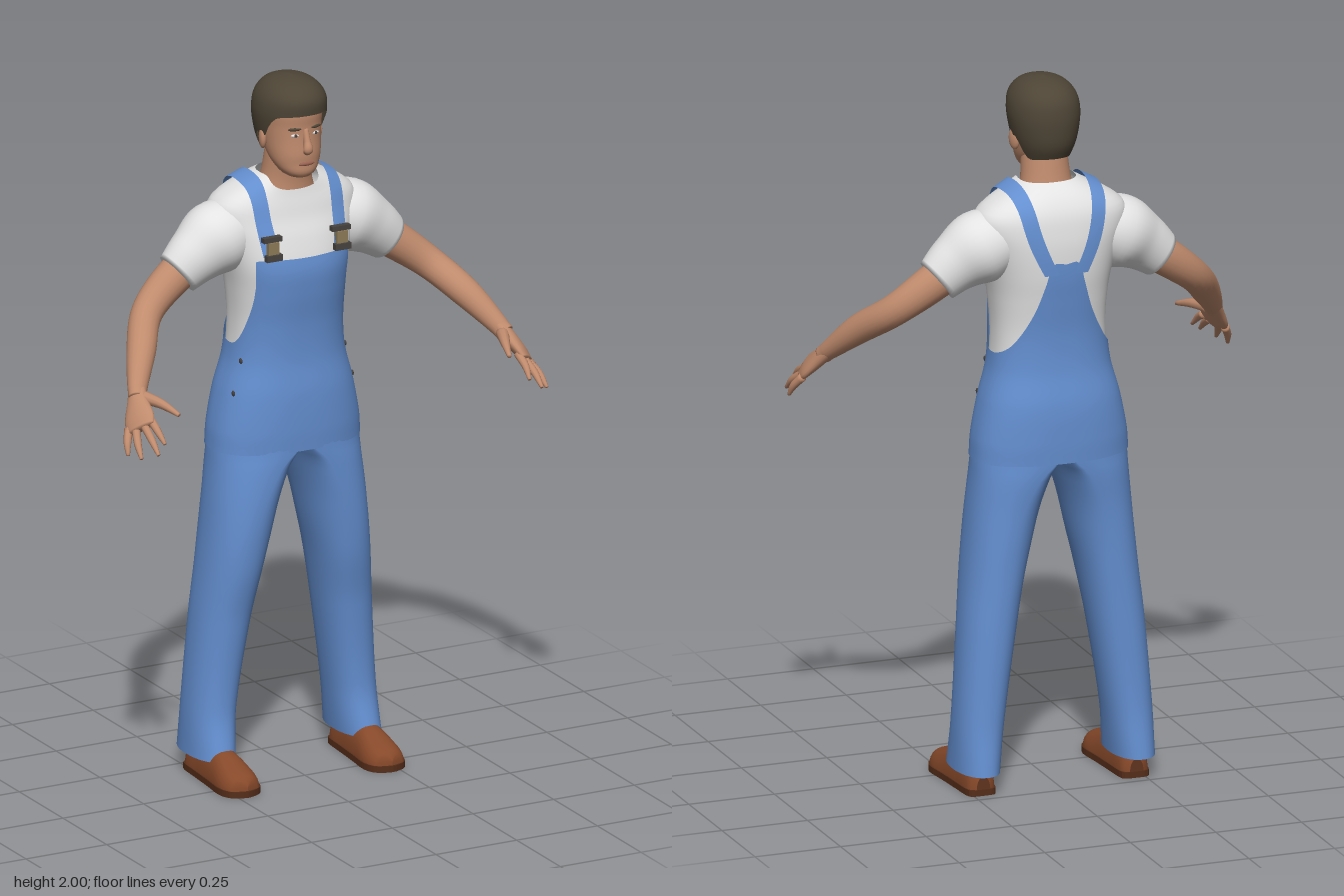
import * as THREE from 'three';

const V = (x, y, z) => new THREE.Vector3(x, y, z);
const mat = (name, color, side = THREE.FrontSide) => {
  const m = new THREE.MeshStandardMaterial({ color, side });
  m.name = name;
  return m;
};

// Smooth interpolation of table rows keyed by their first number
function sample(rows, k) {
  const n = rows.length - 1;
  k = Math.min(Math.max(k, rows[0][0]), rows[n][0]);
  let i = 0;
  while (i < n - 1 && k > rows[i + 1][0]) i++;
  const a = rows[i], b = rows[i + 1], p = rows[Math.max(i - 1, 0)], q = rows[Math.min(i + 2, n)];
  const h = b[0] - a[0], t = (k - a[0]) / h, t2 = t * t, t3 = t2 * t;
  return a.map((_, c) => {
    const ma = (b[c] - p[c]) / (b[0] - p[0]), mb = (q[c] - a[c]) / (q[0] - a[0]);
    return (2 * t3 - 3 * t2 + 1) * a[c] + (t3 - 2 * t2 + t) * h * ma + (3 * t2 - 2 * t3) * b[c] + (t3 - t2) * h * mb;
  });
}

// Surface from fn(u, v), closed around u unless told otherwise
function grid(nu, nv, fn, closed = true) {
  const pos = [], idx = [], cols = closed ? nu : nu + 1;
  for (let j = 0; j <= nv; j++)
    for (let i = 0; i < cols; i++) pos.push(...fn(i / nu, j / nv, j).toArray());
  for (let j = 0; j < nv; j++)
    for (let i = 0; i < nu; i++) {
      const a = j * cols + i, d = j * cols + (i + 1) % cols;
      idx.push(a, a + cols, d + cols, a, d + cols, d);
    }
  const g = new THREE.BufferGeometry();
  g.setAttribute('position', new THREE.Float32BufferAttribute(pos, 3));
  g.setIndex(idx);
  g.computeVertexNormals();
  return g;
}

// Point on a horizontal cross-section; rows are [y, inner, middle, outer, front, back]
function section(rows, y, angle, n, off = 0) {
  const [, inner, mid, outer, zf, zb] = sample(rows, y);
  const c = Math.cos(angle), s = Math.sin(angle), e = 2 / n;
  const px = Math.abs(c) ** e, pz = Math.sign(s) * Math.abs(s) ** e;
  const x = c > 0 ? mid + (outer + off - mid) * px : mid - (mid - inner + off) * px;
  return V(x, y, (zf + zb) / 2 + ((zf - zb) / 2 + off) * pz);
}
const symmetric = rows => rows.map(([y, w, zf, zb]) => [y, -w, 0, w, zf, zb]);

// Closed tube through stations [x, y, z, radius along ref, other radius]
function limb(st, ref = V(0, 0, 1), nu = 20, per = 6) {
  const curve = new THREE.CatmullRomCurve3(st.map(s => V(s[0], s[1], s[2])));
  const radii = st.map((s, i) => [i, s[3], s[4]]), nv = (st.length - 1) * per + 2;
  return grid(nu, nv, (u, v, j) => {
    const t = Math.min(Math.max((j - 1) / (nv - 2), 0), 1);
    const T = curve.getTangent(t), A = ref.clone().addScaledVector(T, -ref.dot(T)).normalize();
    const B = A.clone().cross(T), k = j === 0 || j === nv ? 0 : 1, r = sample(radii, t * (st.length - 1));
    return curve.getPoint(t).addScaledVector(A, k * r[1] * Math.cos(u * 2 * Math.PI))
      .addScaledVector(B, k * r[2] * Math.sin(u * 2 * Math.PI));
  });
}

function mirrored(geo) {
  const g = geo.clone().scale(-1, 1, 1);
  if (!g.index) g.setIndex([...Array(g.attributes.position.count).keys()]);
  const a = g.index.array;
  for (let i = 0; i < a.length; i += 3) [a[i], a[i + 1]] = [a[i + 1], a[i]];
  return g;
}

export function createModel() {
  const group = new THREE.Group();
  group.name = 'workman';
  const skin = mat('skin', 0xc08b6d), hair = mat('darkBrownHair', 0x4e4536, THREE.DoubleSide);
  const white = mat('whiteCotton', 0xe3e3e3, THREE.DoubleSide), denim = mat('blueDenim', 0x648fd0, THREE.DoubleSide);
  const leather = mat('brownLeather', 0x87492a), sole = mat('darkSole', 0x562e1a);
  const metal = mat('darkMetal', 0x47433f), brass = mat('brass', 0x8f7c58), lip = mat('lips', 0x9c6453);
  const add = (name, geo, m) => {
    const mesh = new THREE.Mesh(geo, m);
    mesh.name = name;
    group.add(mesh);
    return mesh;
  };
  const pair = (name, geo, m) => {
    add(name + 'Left', geo, m);
    add(name + 'Right', mirrored(geo), m);
  };
  const TAU = Math.PI * 2, lerp = THREE.MathUtils.lerp;
  const ray = new THREE.Raycaster();
  const hit = (mesh, from, dir) => {
    ray.set(from, dir);
    return ray.intersectObject(mesh)[0]?.point;
  };

  // Shirt body with a lower neckline in front
  const body = symmetric([
    [0.94, 0.216, 0.003, -0.264], [1.0, 0.211, 0.006, -0.266], [1.1, 0.191, 0.005, -0.263], [1.2, 0.165, -0.004, -0.246],
    [1.3, 0.158, 0.0, -0.243], [1.4, 0.165, 0.014, -0.253], [1.47, 0.178, 0.018, -0.261], [1.55, 0.2, 0.0, -0.263],
    [1.6, 0.215, -0.018, -0.258], [1.64, 0.21, -0.028, -0.25], [1.67, 0.175, -0.036, -0.236],
    [1.7, 0.118, -0.042, -0.212], [1.72, 0.08, -0.05, -0.182]]);
  const shirt = add('shirtBody', grid(72, 40, (u, v) => {
    const top = 1.72 - 0.04 * Math.max(0, Math.sin(u * TAU)) ** 4;
    return section(body, lerp(1.15, top, v), u * TAU, 2.4);
  }), white);
  pair('sleeve', limb([[0.1, 1.575, -0.14, 0.08, 0.075], [0.2, 1.545, -0.135, 0.1, 0.102],
    [0.27, 1.505, -0.13, 0.077, 0.083], [0.326, 1.46, -0.13, 0.059, 0.066]], V(0, 0, 1), 32), white);

  // Overalls: hips, bib and back panel in one sheet with a shaped top edge
  const frontEdge = [[0, 1.5], [0.72, 1.5], [0.76, 1.49], [0.82, 1.4], [0.93, 1.3], [1, 1.24]];
  const backEdge = [[0, 1.51], [0.2, 1.51], [0.32, 1.45], [0.5, 1.37], [0.8, 1.28], [1, 1.24]];
  add('overallsBib', grid(128, 44, (u, v) => {
    const a = u * TAU, f = Math.abs(Math.cos(a)) ** (2 / 2.4);
    const top = sample(Math.sin(a) > 0 ? frontEdge : backEdge, f)[1];
    return section(body, lerp(0.94, top, v), a, 2.4, 0.006);
  }), denim);
  const leg = [
    [0.065, 0.165, 0.226, 0.288, -0.03, -0.265], [0.2, 0.15, 0.215, 0.283, -0.058, -0.25], [0.45, 0.112, 0.187, 0.265, -0.042, -0.245],
    [0.6, 0.085, 0.165, 0.25, -0.015, -0.245], [0.7, 0.062, 0.15, 0.24, -0.004, -0.247], [0.8, 0.04, 0.12, 0.231, 0.002, -0.252],
    [0.9, 0.012, 0.07, 0.222, 0.006, -0.264], [0.94, 0, 0.03, 0.22, 0.008, -0.268], [1.0, 0, 0.01, 0.214, 0.01, -0.27]];
  pair('trouserLeg', grid(48, 44, (u, v) => section(leg, lerp(0.065, 1.0, v), u * TAU, 2.2)), denim);

  // Straps draped over the shoulders
  const strapX = [[28, 0.105], [60, 0.116], [90, 0.12], [125, 0.1], [168, 0.042]];
  const strapPoint = (deg, dx, lift) => {
    const a = THREE.MathUtils.degToRad(deg), d = V(0, Math.sin(a), Math.cos(a));
    const c = V(sample(strapX, deg)[1] + dx, 1.45, -0.12);
    const p = hit(shirt, c.clone().addScaledVector(d, 1), d.clone().negate()) || c.addScaledVector(d, 0.15);
    return p.addScaledVector(d, lift);
  };
  pair('strap', grid(4, 48, (u, v) => strapPoint(lerp(28, 168, v), (u - 0.5) * 0.042, 0.012), false), denim);

  // Strap buckles and buttons
  const box = (w, h, d, x, y, z) => new THREE.BoxGeometry(w, h, d).translate(x, y, z);
  pair('buckleFrame', box(0.056, 0.014, 0.018, 0.106, 1.565, 0.006), metal);
  pair('buckleClip', box(0.032, 0.036, 0.016, 0.106, 1.54, 0.012), brass);
  pair('buckleBase', box(0.048, 0.018, 0.016, 0.106, 1.515, 0.018), metal);
  for (const [y, z] of [[1.2, -0.07], [1.11, -0.07]]) {
    const p = hit(group.getObjectByName('overallsBib'), V(1, y, z), V(-1, 0, 0));
    pair('sideButton', new THREE.SphereGeometry(0.008, 10, 8).scale(0.5, 1, 1).translate(p.x, y, z), metal);
  }

  // Arms and hands
  pair('arm', limb([[0.22, 1.53, -0.13, 0.05, 0.05], [0.33, 1.46, -0.13, 0.05, 0.053], [0.435, 1.38, -0.098, 0.043, 0.045],
    [0.505, 1.305, -0.005, 0.04, 0.041], [0.56, 1.228, 0.075, 0.026, 0.028], [0.57, 1.21, 0.095, 0.024, 0.026]]), skin);
  const across = V(0.55, -0.4, -0.72).normalize();
  pair('palm', limb([[0.556, 1.235, 0.068, 0.024, 0.02], [0.573, 1.205, 0.1, 0.031, 0.021],
    [0.59, 1.17, 0.142, 0.046, 0.018], [0.598, 1.148, 0.168, 0.042, 0.013]], across, 20), skin);
  const fingers = {
    indexFinger: [[0.57, 1.172, 0.168], [0.57, 1.15, 0.21], [0.565, 1.122, 0.243]],
    middleFinger: [[0.588, 1.157, 0.165], [0.593, 1.13, 0.22], [0.594, 1.1, 0.26]],
    ringFinger: [[0.605, 1.145, 0.15], [0.622, 1.115, 0.193], [0.628, 1.084, 0.225]],
    littleFinger: [[0.617, 1.14, 0.13], [0.634, 1.11, 0.155], [0.641, 1.08, 0.172]],
    thumb: [[0.56, 1.215, 0.095], [0.532, 1.208, 0.165], [0.512, 1.192, 0.225]]
  };
  for (const [name, pts] of Object.entries(fingers)) {
    const r = name === 'thumb' ? [0.019, 0.013, 0.006] : [0.012, 0.0105, 0.005];
    pair(name, limb(pts.map((p, i) => [...p, r[i], r[i]]), across, 10, 4), skin);
  }

  // Neck and head
  const neck = symmetric([[1.62, 0.1, -0.045, -0.2], [1.7, 0.073, -0.047, -0.176], [1.79, 0.063, -0.03, -0.16]]);
  add('neck', grid(32, 10, (u, v) => section(neck, lerp(1.62, 1.79, v), u * TAU, 2)), skin);
  const skull = symmetric([[1.718, 0, -0.02, -0.05], [1.724, 0.03, -0.003, -0.08], [1.74, 0.051, 0.008, -0.1], [1.765, 0.066, 0.009, -0.125],
    [1.79, 0.073, 0.011, -0.15], [1.83, 0.078, 0.009, -0.172], [1.87, 0.081, 0.009, -0.18], [1.91, 0.084, 0.012, -0.185],
    [1.95, 0.078, 0, -0.175], [1.98, 0.045, -0.03, -0.14]]);
  const head = add('head', grid(40, 36, (u, v) => section(skull, lerp(1.718, 1.98, v), u * TAU, 2.15)), skin);
  pair('ear', new THREE.SphereGeometry(1, 14, 10).scale(0.011, 0.032, 0.02).rotateY(0.35).translate(0.083, 1.828, -0.088), skin);
  add('nose', limb([[0, 1.866, 0.003, 0.008, 0.008], [0, 1.832, 0.013, 0.0095, 0.01],
    [0, 1.81, 0.019, 0.014, 0.012], [0, 1.798, 0.01, 0.009, 0.008]], V(1, 0, 0), 14), skin);

  // Painted face details
  const patch = (x, y, w, h, lift = 0) => {
    const p = hit(head, V(x, y, 1), V(0, 0, -1));
    return new THREE.SphereGeometry(1, 14, 8).scale(w, h, 0.0045).rotateY(x * 9).translate(x, y, p.z + lift);
  };
  pair('eye', patch(0.032, 1.85, 0.012, 0.0045), white);
  pair('iris', patch(0.031, 1.85, 0.0055, 0.0045, 0.0015), metal);
  pair('eyebrow', patch(0.033, 1.868, 0.019, 0.0045), hair);
  add('mouth', patch(0, 1.767, 0.024, 0.006), lip);

  // Short hair with a fringe, sideburns and a lower nape
  const hairShape = symmetric([[1.78, 0.072, 0, -0.178], [1.82, 0.085, 0.01, -0.198], [1.87, 0.095, 0.018, -0.206], [1.91, 0.098, 0.026, -0.206],
    [1.95, 0.09, 0.025, -0.196], [1.98, 0.066, -0.002, -0.168], [1.994, 0.035, -0.04, -0.13], [2.0, 0, -0.08, -0.09]]);
  const hairline = [[-1, 1.785], [-0.5, 1.785], [-0.15, 1.84], [0.2, 1.835], [0.4, 1.87], [0.6, 1.9], [1, 1.91]];
  add('hair', grid(48, 24, (u, v) => {
    const a = u * TAU, low = sample(hairline, Math.sin(a))[1];
    return section(hairShape, lerp(low, 2, Math.sin(v * Math.PI / 2)), a, 2.1);
  }), hair);

  // Shoes: uppers lofted heel to toe on flat soles
  const shoe = [[-0.22, 0.02, 0.04], [-0.205, 0.038, 0.07], [-0.12, 0.045, 0.09], [-0.04, 0.051, 0.082],
    [0.02, 0.057, 0.06], [0.055, 0.052, 0.047], [0.078, 0.036, 0.035], [0.088, 0, 0.018]];
  pair('shoeUpper', grid(28, 32, (u, v) => {
    const [z, w, h] = sample(shoe, lerp(-0.22, 0.088, v)), a = u * TAU, c = Math.cos(a);
    return V(0.224 + w * Math.sign(c) * Math.abs(c) ** 0.8, 0.014 + h * Math.max(0, -Math.sin(a)), z);
  }), leather);
  const edge = shoe.slice(0, -1).map(([z, w]) => new THREE.Vector2(w + 0.003, -z));
  const outline = new THREE.Shape().setFromPoints(new THREE.SplineCurve([
    ...edge, new THREE.Vector2(0, -0.092), ...edge.map(p => new THREE.Vector2(-p.x, p.y)).reverse()]).getPoints(48));
  pair('shoeSole', new THREE.ExtrudeGeometry(outline, { depth: 0.018, bevelEnabled: false })
    .rotateX(-Math.PI / 2).translate(0.224, 0, 0), sole);

  return group;
}
